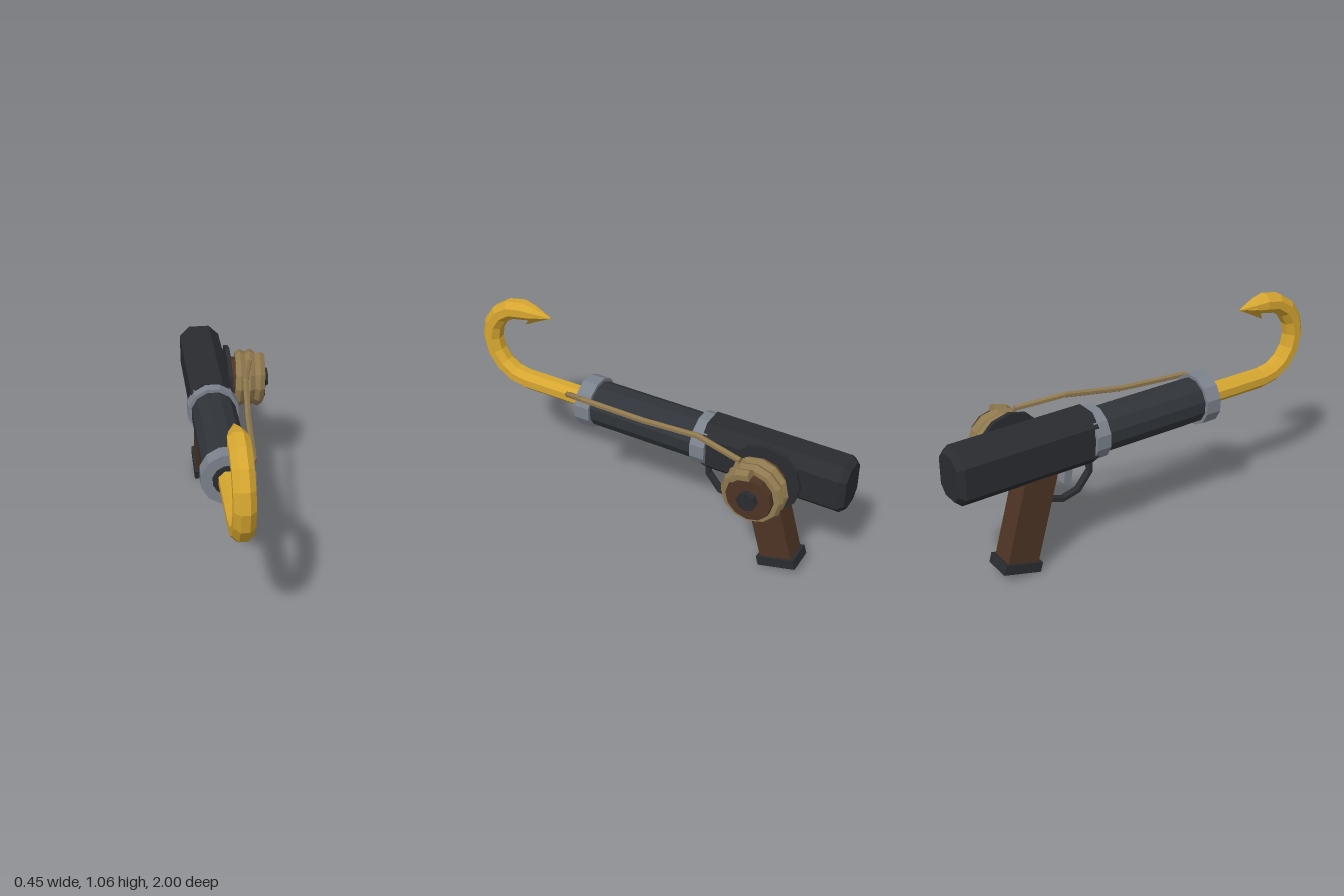
import * as THREE from 'three';
import { ConvexGeometry } from 'three/addons/geometries/ConvexGeometry.js';

const V = (x, y, z) => new THREE.Vector3(x, y, z);
const mat = (color) => new THREE.MeshStandardMaterial({ color, flatShading: true });
const DARK = mat(0x2a2c30), BARREL = mat(0x30343a), STEEL = mat(0x7c828c);
const GOLD = mat(0xd6a630), WOOD = mat(0x4e3424), ROPE = mat(0x8e784e);
const AX = -0.1, AY = 0.61; // barrel axis

// Skins a list of equal-length rings (counter-clockwise about the travel direction), with end caps.
function loft(rings) {
  const n = rings[0].length, pos = [], idx = [];
  rings.flat().forEach((p) => pos.push(p.x, p.y, p.z));
  for (let r = 0; r < rings.length - 1; r++) {
    for (let i = 0; i < n; i++) {
      const a = r * n + i, b = r * n + (i + 1) % n;
      idx.push(a, b, b + n, a, b + n, a + n);
    }
  }
  const last = (rings.length - 1) * n;
  for (let i = 1; i < n - 1; i++) idx.push(0, i + 1, i, last, last + i, last + i + 1);
  const g = new THREE.BufferGeometry();
  g.setAttribute('position', new THREE.Float32BufferAttribute(pos, 3));
  g.setIndex(idx);
  g.computeVertexNormals();
  return g;
}

// Faceted rod along a polyline; radius may be a function of the point index.
function rod(points, radius, sides) {
  return loft(points.map((p, k) => {
    const t = points[Math.min(k + 1, points.length - 1)].clone()
      .sub(points[Math.max(k - 1, 0)]).normalize();
    const u = V(1, 0, 0).addScaledVector(t, -t.x).normalize();
    const v = t.clone().cross(u);
    const r = typeof radius === 'function' ? radius(k) : radius;
    return Array.from({ length: sides }, (_, i) => {
      const a = (i + 0.5) / sides * Math.PI * 2;
      return p.clone().addScaledVector(u, r * Math.cos(a)).addScaledVector(v, r * Math.sin(a));
    });
  }));
}

export function createModel() {
  const group = new THREE.Group();
  const add = (name, geometry, material, parent = group) => {
    const m = new THREE.Mesh(geometry, material);
    m.name = name;
    parent.add(m);
    return m;
  };
  // Twelve-sided drum along z between two depths
  const drumZ = (name, r, z0, z1, material) => {
    const g = new THREE.CylinderGeometry(r, r, z1 - z0, 12, 1, false, Math.PI / 12);
    g.rotateX(Math.PI / 2);
    add(name, g, material).position.set(AX, AY, (z0 + z1) / 2);
  };

  // Barrel with its two steel bands and dark muzzle
  drumZ('barrel', 0.112, -0.31, 0.34, BARREL);
  drumZ('frontBand', 0.129, 0.32, 0.4, STEEL);
  drumZ('rearBand', 0.129, -0.31, -0.235, STEEL);
  drumZ('muzzle', 0.075, 0.3, 0.405, DARK);

  // Rear body: chamfered block with a bevelled back end
  const section = (z, w, h, c) => [
    [w, -h + c], [w, h - c], [w - c, h], [-w + c, h],
    [-w, h - c], [-w, -h + c], [-w + c, -h], [w - c, -h],
  ].map(([x, y]) => V(AX + x, AY + y, z));
  add('rearBody', loft([
    section(-1, 0.08, 0.105, 0.04),
    section(-0.97, 0.104, 0.129, 0.052),
    section(-0.29, 0.104, 0.129, 0.052),
  ]), DARK);

  // Hook: straight shank, half-circle bend and tapered point
  const path = [V(AX, AY, 0.35)];
  for (let i = 0; i <= 8; i++) {
    const a = -Math.PI / 2 + i / 8 * Math.PI;
    path.push(V(AX, 0.812 + 0.202 * Math.sin(a), 0.75 + 0.202 * Math.cos(a)));
  }
  path.push(V(AX, 1.012, 0.69), V(AX, 1.01, 0.595));
  add('hook', rod(path, (k) => (k === 11 ? 0.001 : k === 10 ? 0.038 : 0.051), 8), GOLD);
  add('hookBarb', new ConvexGeometry([
    V(AX, 1.01, 0.597), V(AX, 0.93, 0.75), V(AX - 0.042, 1.005, 0.69), V(AX + 0.042, 1.005, 0.69),
  ]), GOLD);

  // Raked grip with its butt cap
  const grip = new THREE.Group();
  grip.name = 'grip';
  grip.position.set(AX, 0.054, -0.69);
  grip.rotation.x = 0.27;
  group.add(grip);
  add('gripWood', new THREE.BoxGeometry(0.118, 0.47, 0.165), WOOD, grip).position.y = 0.235;
  add('gripCap', new THREE.BoxGeometry(0.14, 0.05, 0.2), DARK, grip);

  // Trigger and guard
  add('triggerGuard', rod([
    V(AX, 0.5, -0.28), V(AX, 0.41, -0.28), V(AX, 0.33, -0.345),
    V(AX, 0.308, -0.43), V(AX, 0.345, -0.54),
  ], 0.019, 6), DARK);
  const trigger = add('trigger', new THREE.BoxGeometry(0.045, 0.11, 0.04), STEEL);
  trigger.position.set(AX, 0.45, -0.405);
  trigger.rotation.x = 0.18;

  // Spool on the left side
  const SY = 0.59, SZ = -0.625;
  const drumX = (name, r, x0, x1, sides, material) => {
    const g = new THREE.CylinderGeometry(r, r, x1 - x0, sides);
    g.rotateZ(Math.PI / 2);
    add(name, g, material).position.set((x0 + x1) / 2, SY, SZ);
  };
  drumX('spoolPlate', 0.175, 0.003, 0.025, 12, DARK);
  drumX('spoolHub', 0.113, 0.02, 0.198, 12, WOOD);
  drumX('spoolAxle', 0.049, 0.19, 0.222, 8, DARK);

  // Wound rope
  const coil = [];
  for (let i = 0; i <= 30; i++) {
    const a = i / 12 * Math.PI * 2;
    coil.push(V(0.18 - 0.05 * i / 12, SY + 0.122 * Math.cos(a), SZ + 0.122 * Math.sin(a)));
  }
  add('ropeCoil', rod(coil, 0.029, 6), ROPE);

  // Rope running from the spool to the hook shank
  add('ropeLine', rod([
    V(-0.065, 0.622, 0.5), V(0.018, 0.688, 0.36), V(0.04, 0.703, 0),
    V(0.068, 0.742, -0.3), V(0.115, 0.722, -0.54),
  ], 0.015, 6), ROPE);

  return group;
}
